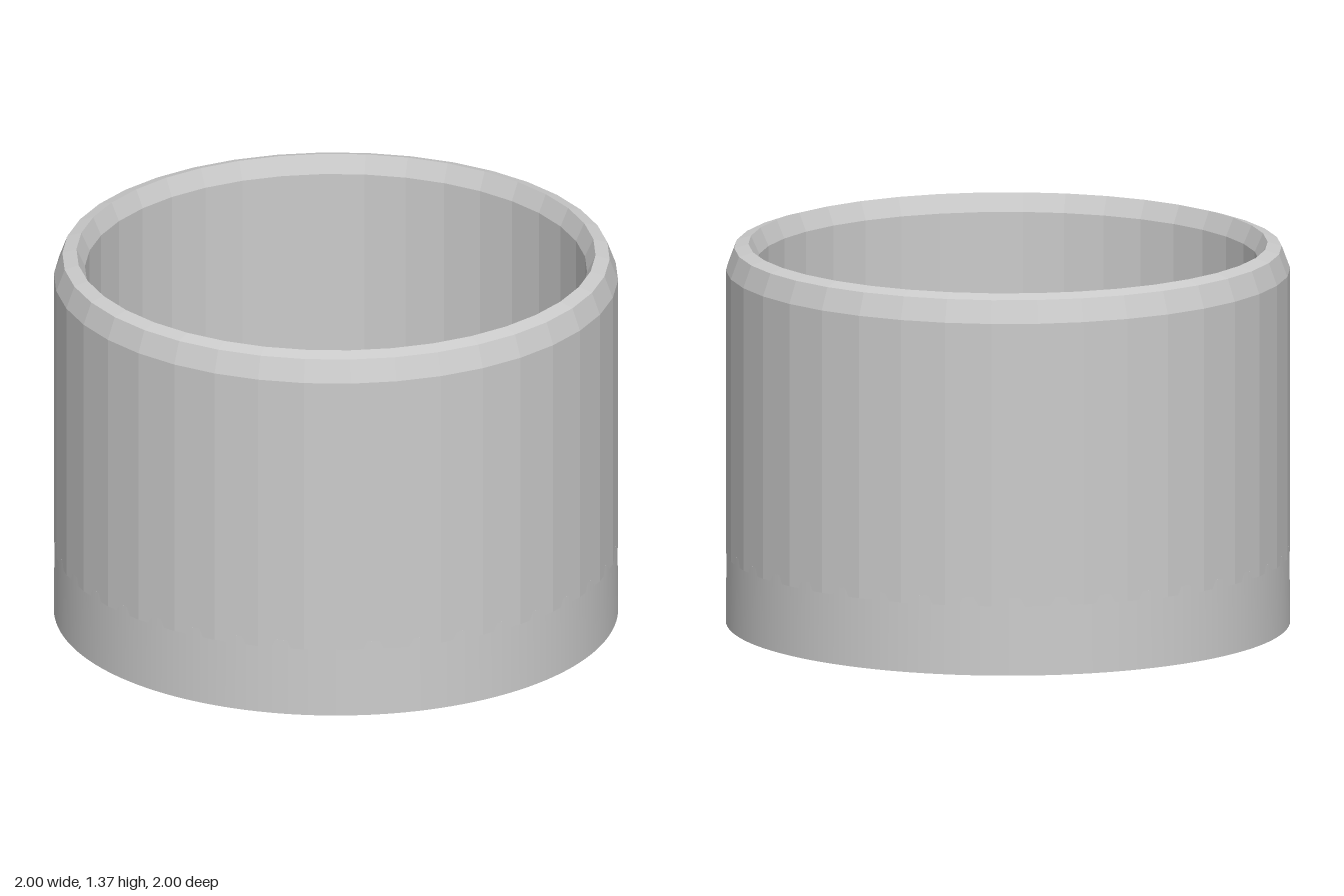
import * as THREE from 'three';

const SIDES = 38;

export function createModel() {
  const group = new THREE.Group();
  group.name = 'cup';

  // Solid round base, smooth, its top forms the inner floor
  const floorY = 0.28;
  const base = new THREE.Mesh(
    new THREE.CylinderGeometry(0.997, 1, floorY, 152),
    new THREE.MeshStandardMaterial({ color: 0xcccccc })
  );
  base.name = 'base';
  base.position.y = floorY / 2;
  group.add(base);

  // Faceted wall: up the outside, over the chamfered rim, down the inside
  const profile = [
    [1, floorY - 0.03],
    [1, 1.27],
    [0.97, 1.35],
    [0.92, 1.365],
    [0.89, 1.3],
    [0.89, floorY],
  ].map(([r, y]) => new THREE.Vector2(r, y));
  const wall = new THREE.Mesh(
    new THREE.LatheGeometry(profile, SIDES, Math.PI / 2).toNonIndexed(),
    new THREE.MeshStandardMaterial({ color: 0xcccccc, flatShading: true })
  );
  wall.geometry.computeVertexNormals();
  wall.name = 'wall';
  group.add(wall);

  return group;
}
